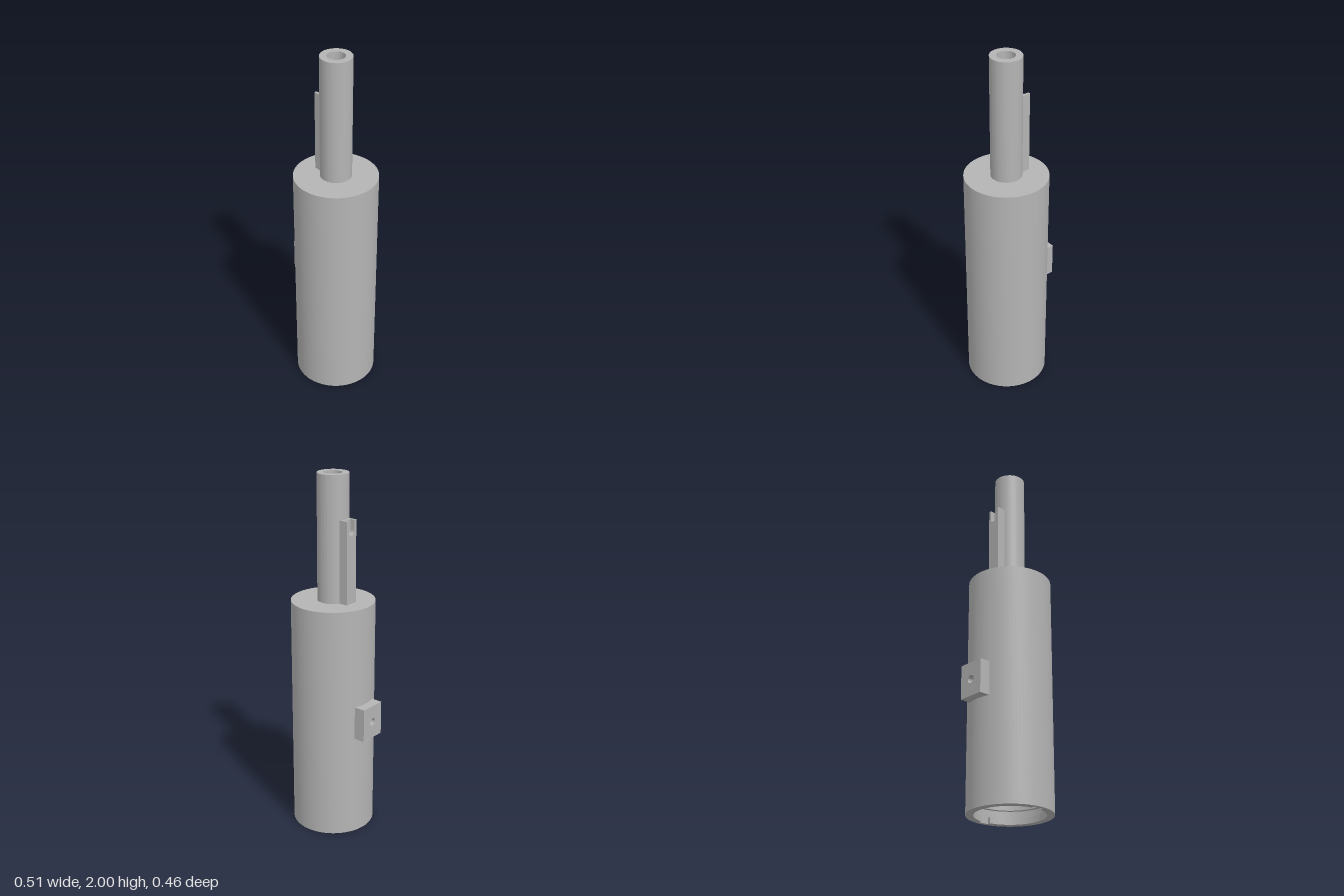
import * as THREE from 'three';
import { toCreasedNormals } from 'three/addons/utils/BufferGeometryUtils.js';

const AXIS = 0.024; // x of the common axis of body and tube

export function createModel() {
  const model = new THREE.Group();
  const grey = new THREE.MeshStandardMaterial({ color: 0xb4b4b4 });
  grey.name = 'plain grey';

  const add = (name, geometry, x = 0, y = 0) => {
    const mesh = new THREE.Mesh(toCreasedNormals(geometry, 0.5), grey);
    mesh.name = name;
    mesh.position.set(x, y, 0);
    model.add(mesh);
  };
  const lathe = (pts) => new THREE.LatheGeometry(pts.map(([r, y]) => new THREE.Vector2(r, y)), 80);
  const extrude = (shape, depth) =>
    new THREE.ExtrudeGeometry(shape, { depth, bevelEnabled: false, curveSegments: 32 });
  // Shape drawn in (z, y), thickened towards -x
  const sidePlate = (shape, depth) => extrude(shape, depth).rotateY(-Math.PI / 2);

  // Hollow body and narrow tube with a through bore, turned in one piece;
  // a wider groove runs round the inside of the open end
  add('body and tube', lathe([
    [0.207, 0], [0.228, 0], [0.228, 1.315], [0.085, 1.315], [0.085, 2], [0.048, 2],
    [0.048, 1.25], [0.187, 1.25], [0.187, 0.075], [0.207, 0.075], [0.207, 0],
  ]), AXIS);

  // Twist-lock lip: two arcs with entry gaps at the front and back
  const gap = 0.16;
  for (const [name, start] of [['leftLip', -Math.PI / 2], ['rightLip', Math.PI / 2]]) {
    const a = start + gap, b = start + Math.PI - gap;
    const arc = new THREE.Shape();
    arc.absarc(0, 0, 0.208, a, b, false);
    arc.absarc(0, 0, 0.187, b, a, true);
    arc.closePath();
    add(name, extrude(arc, 0.035).rotateX(-Math.PI / 2), AXIS);
  }

  // Side block with a round hole
  const block = new THREE.Shape();
  block.moveTo(-0.076, 0.577);
  block.lineTo(0.076, 0.577);
  block.lineTo(0.076, 0.765);
  block.lineTo(-0.076, 0.765);
  block.closePath();
  const hole = new THREE.Path();
  hole.absarc(0, 0.671, 0.022, 0, Math.PI * 2, true);
  block.holes.push(hole);
  add('sideBlock', sidePlate(block, 0.065), -0.189);

  // Rail against the tube: solid back, outer layer with a round-bottomed notch
  add('railBack', new THREE.BoxGeometry(0.036, 0.45, 0.076), -0.055, 1.54);
  const rail = new THREE.Shape();
  rail.moveTo(-0.038, 1.315);
  rail.lineTo(0.038, 1.315);
  rail.lineTo(0.038, 1.765);
  rail.lineTo(0.024, 1.765);
  rail.lineTo(0.024, 1.71);
  rail.absarc(0, 1.71, 0.024, 0, Math.PI, true);
  rail.lineTo(-0.024, 1.765);
  rail.lineTo(-0.038, 1.765);
  rail.closePath();
  add('railFace', sidePlate(rail, 0.028), -0.073);

  return model;
}
